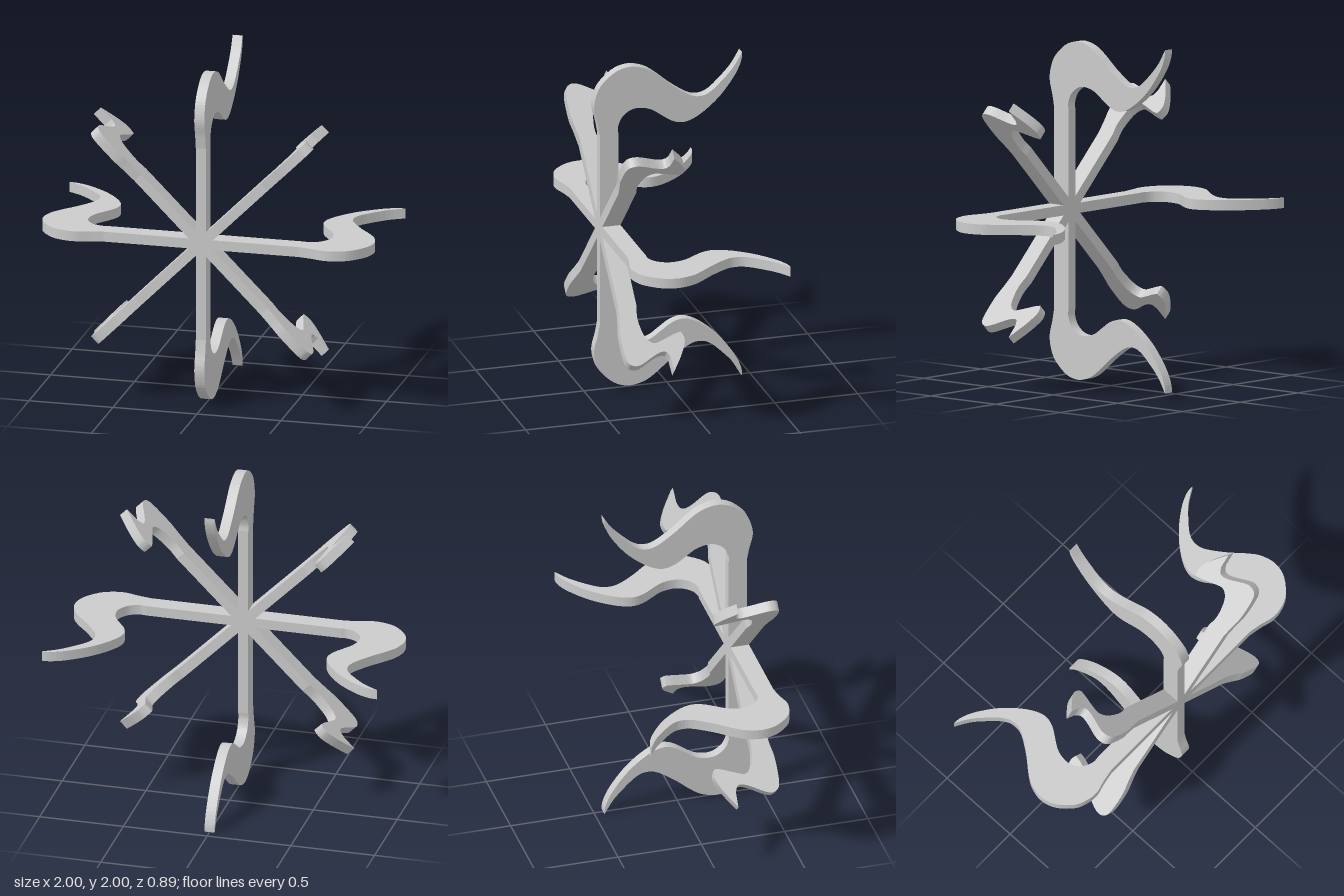
import * as THREE from 'three';

const WIDTH = 0.06;
const material = new THREE.MeshStandardMaterial({ color: 0xcccccc });

// Closed outline from smooth runs [r, z]; corners stay sharp where runs meet.
function outline(runs) {
  const shape = new THREE.Shape();
  shape.moveTo(...runs[0][0]);
  for (const run of runs) {
    const pts = run.map(([r, z]) => new THREE.Vector2(r, z));
    if (pts.length === 2) shape.lineTo(pts[1].x, pts[1].y);
    else new THREE.SplineCurve(pts).getPoints(pts.length * 4).slice(1).forEach((p) => shape.lineTo(p.x, p.y));
  }
  return shape;
}

// Extrude a plate and lay it in the plane of radius (x) and depth (z).
function armGeometry(runs) {
  const geo = new THREE.ExtrudeGeometry(outline(runs), { depth: WIDTH, bevelEnabled: false });
  geo.translate(0, 0, -WIDTH / 2);
  geo.rotateX(Math.PI / 2);
  return geo;
}

// Long arm: straight stem, round hook, S-curved tail with a pointed tip
const longArm = [
  [[0, 0.3], [0.58, 0.3]],
  [[0.58, 0.3], [0.62, 0.302], [0.675, 0.28], [0.715, 0.23], [0.725, 0.175], [0.708, 0.105],
    [0.665, 0.04], [0.625, -0.02], [0.607, -0.085], [0.625, -0.155], [0.68, -0.24],
    [0.76, -0.325], [0.87, -0.405], [0.95, -0.44], [1, -0.445]],
  [[1, -0.445], [0.91, -0.39], [0.825, -0.31], [0.775, -0.25], [0.757, -0.195], [0.77, -0.13],
    [0.84, -0.025], [0.92, 0.07], [0.965, 0.14], [0.985, 0.23], [0.96, 0.32], [0.885, 0.405],
    [0.81, 0.438], [0.74, 0.445], [0.66, 0.425], [0.58, 0.41]],
  [[0.58, 0.41], [0, 0.41]],
];

// Short arm: straight stem, tight hook and a flared barb
const shortArm = [
  [[0, 0.3], [0.53, 0.3]],
  [[0.53, 0.3], [0.6, 0.312], [0.68, 0.304], [0.74, 0.284], [0.77, 0.245], [0.755, 0.19],
    [0.725, 0.115], [0.715, 0.075]],
  [[0.715, 0.075], [0.745, 0.063], [0.785, 0.065], [0.86, 0.1], [0.96, 0.165]],
  [[0.96, 0.165], [0.87, 0.168]],
  [[0.87, 0.168], [0.835, 0.185], [0.83, 0.215], [0.85, 0.265], [0.892, 0.34], [0.902, 0.385],
    [0.88, 0.422], [0.82, 0.435], [0.7, 0.435], [0.62, 0.422], [0.53, 0.41]],
  [[0.53, 0.41], [0, 0.41]],
];

export function createModel() {
  const model = new THREE.Group();
  model.name = 'grapple';
  const long = armGeometry(longArm);
  const short = armGeometry(shortArm);

  // Eight arms around the hub, alternating long and short
  for (let i = 0; i < 8; i++) {
    const isLong = i % 2 === 0;
    const arm = new THREE.Mesh(isLong ? long : short, material);
    arm.name = (isLong ? 'longArm' : 'shortArm') + (Math.floor(i / 2) + 1);
    arm.rotation.z = (i * Math.PI) / 4;
    arm.position.y = 1;
    model.add(arm);
  }
  return model;
}
